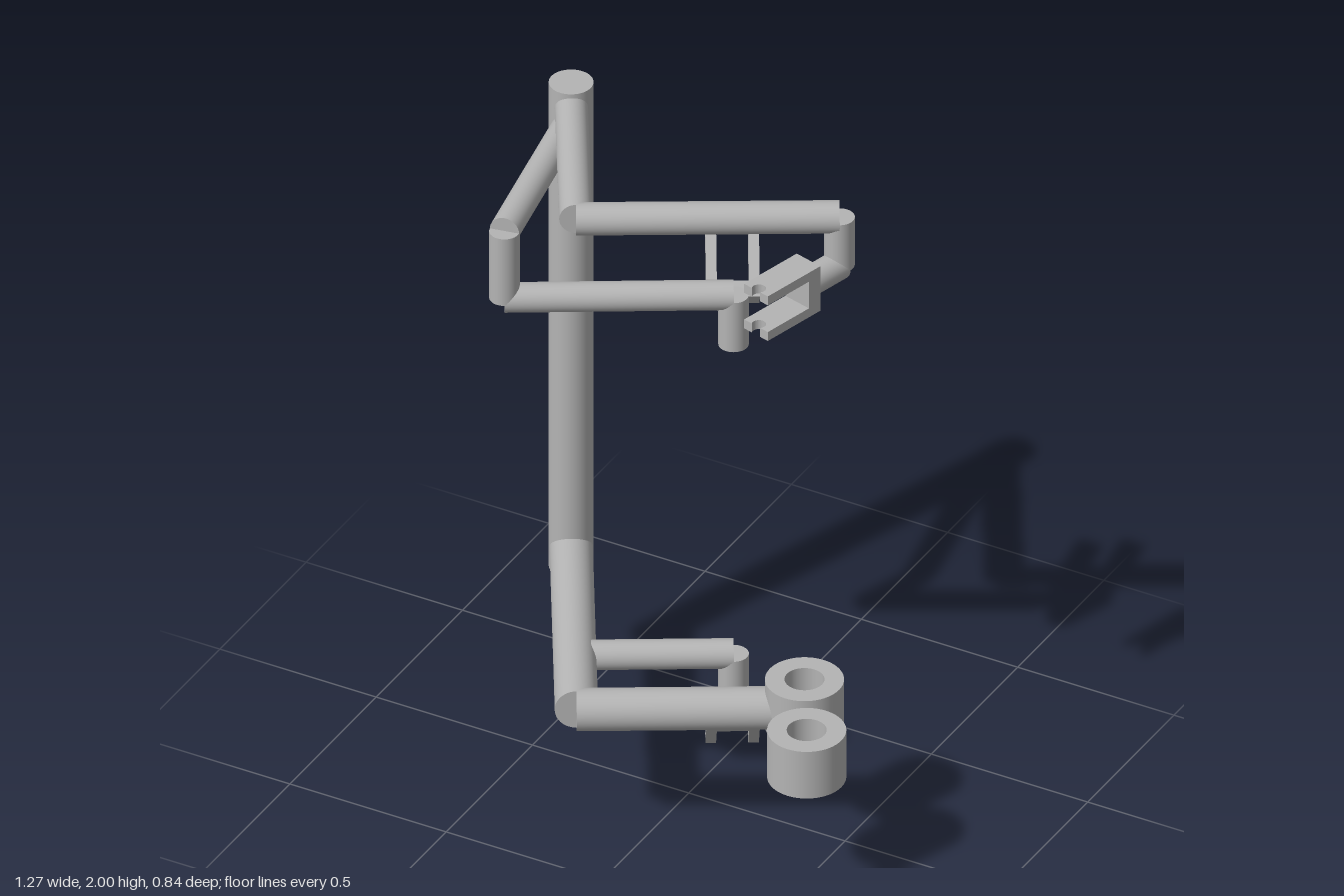
import * as THREE from 'three';
import { mergeGeometries } from 'three/addons/utils/BufferGeometryUtils.js';

const V = (x, y, z) => new THREE.Vector3(x, y, z);

export function createModel() {
  const model = new THREE.Group();
  const grey = new THREE.MeshStandardMaterial({ color: 0xb4b4b4 });
  grey.name = 'metalGrey';

  const add = (geometry, name, parent = model) => {
    const mesh = new THREE.Mesh(geometry, grey);
    mesh.name = name;
    parent.add(mesh);
    return mesh;
  };

  // Straight flat-ended rod between two points
  const rod = (a, b, radius, name) => {
    const mesh = add(new THREE.CylinderGeometry(radius, radius, a.distanceTo(b), 40), name);
    mesh.position.lerpVectors(a, b, 0.5);
    mesh.quaternion.setFromUnitVectors(V(0, 1, 0), b.clone().sub(a).normalize());
  };

  // Prong outline: a plate with a round notch open at its tip
  const W = 0.046, L = 0.212, R = 0.02, H = 0.075, T = 0.03, INSET = 0.012;
  const half = Math.sqrt(R * R - INSET * INSET);
  const angle = Math.atan2(INSET, half);
  const prongShape = new THREE.Shape();
  prongShape.moveTo(-W, 0);
  prongShape.lineTo(W, 0);
  prongShape.lineTo(W, L);
  prongShape.lineTo(half, L);
  prongShape.absarc(0, L - INSET, R, angle, Math.PI - angle, true);
  prongShape.lineTo(-W, L);
  prongShape.closePath();
  const prongGeometry = new THREE.ExtrudeGeometry(prongShape, { depth: T, bevelEnabled: false, curveSegments: 20 });

  // Wrist rod carrying a two-pronged gripper; normal is the direction across the prongs
  const gripper = (wrist, dir, normal, name) => {
    dir.normalize();
    normal.normalize();
    const base = wrist.clone().addScaledVector(dir, 0.125);
    rod(wrist, base.clone().addScaledVector(dir, 0.01), 0.043, name + 'Wrist');
    const group = new THREE.Group();
    group.name = name;
    add(prongGeometry, 'prong', group).position.z = H - T;
    add(prongGeometry, 'prong', group).position.z = -H;
    const block = add(new THREE.BoxGeometry(2 * W, 0.046, 2 * (H - T)), 'gripperBase', group);
    block.position.y = 0.023;
    const across = new THREE.Vector3().crossVectors(dir, normal);
    group.quaternion.setFromRotationMatrix(new THREE.Matrix4().makeBasis(across, dir, normal));
    group.position.copy(base);
    model.add(group);
  };

  // Ring with crisp rims, one lathe strip per face
  const ring = (x, z, name) => {
    const profile = [[0.056, 0.38], [0.111, 0.38], [0.111, 0.537], [0.056, 0.537]];
    const strips = profile.map((p, i) => {
      const q = profile[(i + 1) % 4];
      return new THREE.LatheGeometry([new THREE.Vector2(...p), new THREE.Vector2(...q)], 56);
    });
    add(mergeGeometries(strips), name).position.set(x, 0, z);
  };

  // Post
  const px = -0.575, pz = -0.36;
  rod(V(px, 0.372, pz), V(px, 2, pz), 0.063, 'post');

  // Top arm with level gripper
  const topElbow = V(-0.273, 1.94, 0.159), topEnd = V(0.368, 1.94, -0.207);
  const topWrist = V(0.368, 1.78, -0.207);
  rod(V(px, 1.94, pz), topElbow, 0.047, 'topUpperArm');
  rod(topElbow, topEnd, 0.047, 'topForearm');
  rod(topEnd, topWrist, 0.043, 'topDropLink');
  gripper(topWrist, V(-0.26, 0, 0.966), V(0, 1, 0), 'topGripper');

  // Middle arm with gripper pitched upward
  const midShoulder = V(px, 1.872, pz), midElbow = V(-0.468, 1.872, 0.22);
  const midLow = V(-0.468, 1.648, 0.22), midEnd = V(0.087, 1.648, -0.102);
  const midWrist = V(0.087, 1.483, -0.102);
  rod(midShoulder, midElbow, 0.043, 'middleUpperArm');
  rod(midElbow, midLow, 0.043, 'middleElbowLink');
  rod(midLow, midEnd, 0.043, 'middleForearm');
  rod(midEnd, midWrist, 0.043, 'middleDropLink');
  gripper(midWrist, V(-0.5, 1, -0.866), V(0.866, 0, -0.5), 'middleGripper');

  // Bottom arm carrying the two rings
  const lowElbow = V(-0.16, 0.442, 0.361);
  rod(V(px, 0.442, pz), lowElbow, 0.061, 'bottomUpperArm');
  rod(lowElbow, V(0.325, 0.442, 0.083), 0.061, 'bottomForearm');
  ring(0.394, 0.043, 'innerRing');
  ring(0.523, 0.264, 'outerRing');
  rod(V(0.432, 0.442, 0.108), V(0.485, 0.442, 0.199), 0.057, 'ringConnector');

  // Side branch of the bottom arm with gripper pitched downward
  const branchEnd = V(0.087, 0.44, -0.102), branchWrist = V(0.087, 0.272, -0.102);
  rod(V(-0.298, 0.44, 0.12), branchEnd, 0.043, 'branchArm');
  rod(branchEnd, branchWrist, 0.043, 'branchDropLink');
  gripper(branchWrist, V(-0.5, -1, -0.866), V(0.866, 0, -0.5), 'bottomGripper');

  return model;
}
